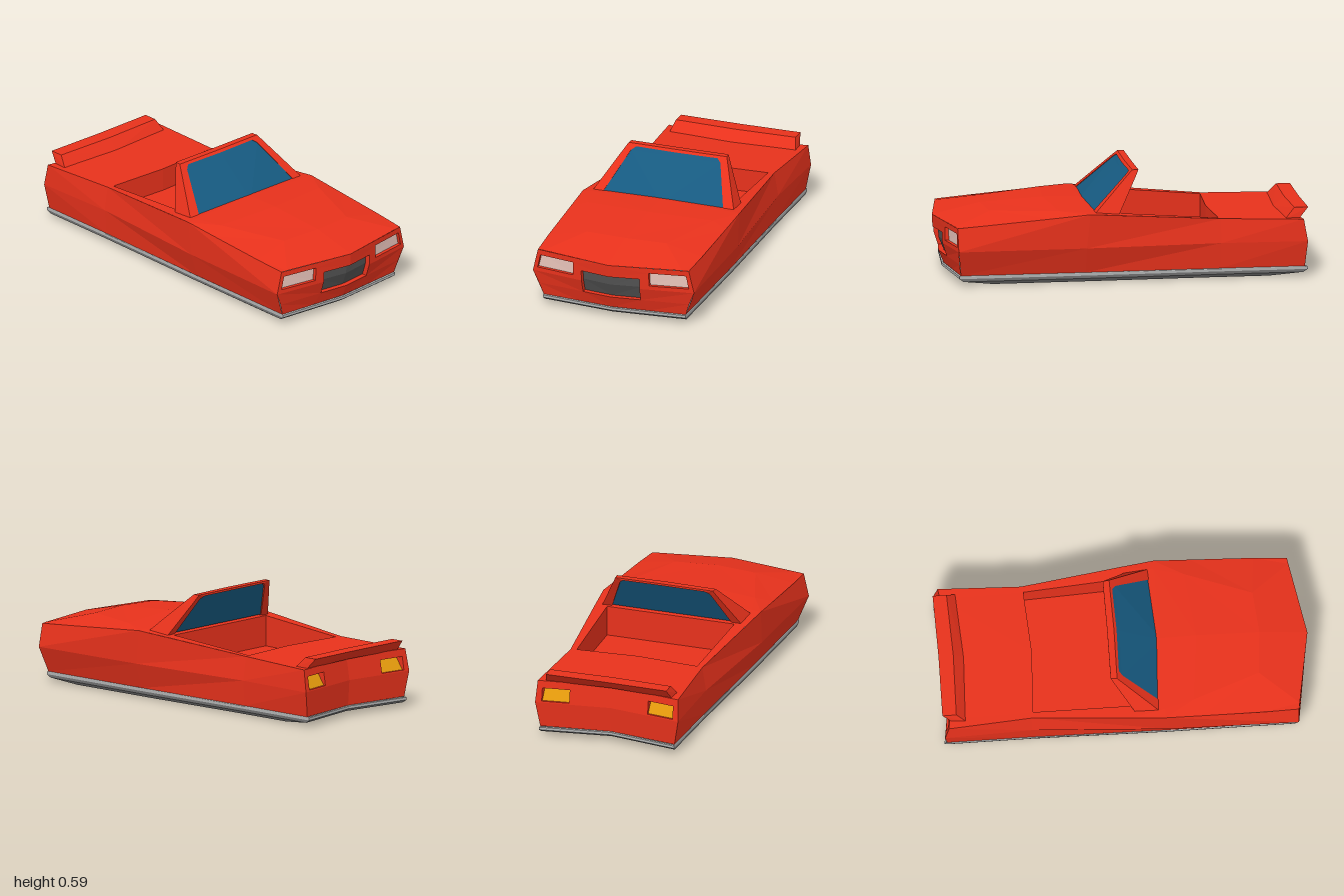
import * as THREE from 'three';

const mat = (name, color) => {
  const m = new THREE.MeshStandardMaterial({ color, side: THREE.DoubleSide });
  m.name = name;
  return m;
};

// Piecewise-linear lookup: stops are [key, value] in rising order
function lerpStops(stops, k) {
  let i = 0;
  while (i < stops.length - 2 && k > stops[i + 1][0]) i++;
  const [k0, v0] = stops[i], [k1, v1] = stops[i + 1];
  return v0 + (v1 - v0) * (k - k0) / (k1 - k0);
}

// Triangles of a grid given as rows of [x, y, z] points
function patch(rows) {
  const out = [];
  for (let r = 0; r + 1 < rows.length; r++) {
    for (let c = 0; c + 1 < rows[r].length; c++) {
      const a = rows[r][c], b = rows[r][c + 1], d = rows[r + 1][c], e = rows[r + 1][c + 1];
      out.push(a, d, e, a, e, b);
    }
  }
  return out;
}

const on = (depth, x, y) => [x, y, depth(x, y)];

// Flat outline with holes, pushed onto the surface z = depth(x, y)
function panel(outline, holes, depth) {
  const v = pts => pts.map(p => new THREE.Vector2(...p));
  const all = [...outline, ...holes.flat()];
  const faces = THREE.ShapeUtils.triangulateShape(v(outline), holes.map(v));
  return faces.flat().map(i => on(depth, ...all[i]));
}

// Walls of a pocket between two surfaces along a line of [x, y] points
const pocketWalls = (line, outer, inner) =>
  patch([outer, inner].map(f => line.map(([x, y]) => on(f, x, y))));

// Mesh made of one half plus its mirror image in x
function mirrored(name, material, tris) {
  const pos = tris.flat();
  for (let i = 0; i < tris.length; i += 3) {
    for (const j of [0, 2, 1]) {
      const [x, y, z] = tris[i + j];
      pos.push(-x, y, z);
    }
  }
  const g = new THREE.BufferGeometry();
  g.setAttribute('position', new THREE.Float32BufferAttribute(pos, 3));
  g.computeVertexNormals();
  const mesh = new THREE.Mesh(g, material);
  mesh.name = name;
  return mesh;
}

export function createModel() {
  const red = mat('red paint', 0xea321c);
  const blue = mat('blue glass', 0x165a80);
  const dark = mat('grille grey', 0x515151);
  const under = mat('underside grey', 0x7c7c7c);
  const grey = mat('bumper grey', 0xb0b2b2);
  const pale = mat('headlight', 0xf2ccc2);
  const amber = mat('tail light amber', 0xe2980c);

  const car = new THREE.Group();
  car.name = 'car';
  const add = (...args) => car.add(mirrored(...args));

  // Pointed nose and notched tail surfaces
  const nose = (x, y) => lerpStops([[0.055, 0.937], [0.195, 0.994], [0.32, 1]], y)
    - x * lerpStops([[0.055, 0.09], [0.195, 0.16], [0.32, 0.18]], y);
  const tail = (x, y) => lerpStops([[0.055, -0.98], [0.195, -0.99], [0.315, -0.97]], y) + 0.06 * (1 - x / 0.41);

  // Body sides: bottom, waist and shoulder lines from front to back
  add('bodySides', red, patch([
    [on(nose, 0.41, 0.055), on(nose, 0.465, 0.195), on(nose, 0.435, 0.32)],
    [[0.404, 0.055, 0.22], [0.45, 0.195, 0.22], [0.452, 0.38, 0.2]],
    [[0.388, 0.055, -0.52], [0.4, 0.195, -0.52], [0.378, 0.325, -0.52]],
    [on(tail, 0.385, 0.055), on(tail, 0.41, 0.195), on(tail, 0.402, 0.315)],
  ]));

  // Hood with a raised middle
  add('hood', red, patch([
    [on(nose, 0, 0.32), on(nose, 0.4, 0.321), on(nose, 0.435, 0.32)],
    [[0, 0.38, 0.74], [0.23, 0.375, 0.72], [0.443, 0.335, 0.74]],
    [[0, 0.401, 0.4], [0.36, 0.387, 0.36], [0.449, 0.363, 0.4]],
    [[0, 0.397, 0.2], [0.4, 0.384, 0.2], [0.452, 0.38, 0.2]],
    [[0, 0.367, 0.02], [0.365, 0.367, 0.02], [0.434, 0.367, 0.02]],
  ]));

  // Cockpit sills, rear deck and sunken tub
  const rim = [[0, 0.367, 0.02], [0.365, 0.367, 0.02], [0.345, 0.325, -0.51], [0, 0.327, -0.49]];
  add('sills', red, patch([
    [rim[1], [0.434, 0.367, 0.02]],
    [rim[2], [0.378, 0.325, -0.52]],
  ]));
  add('rearDeck', red, patch([
    [rim[3], rim[2], [0.378, 0.325, -0.52]],
    [on(tail, 0, 0.315), on(tail, 0.345, 0.315), on(tail, 0.402, 0.315)],
  ]));
  const floor = rim.map(([x, , z]) => [x, 0.2, z]);
  add('cockpitTub', red, [
    ...patch([rim, floor]),
    ...patch([[floor[0], floor[1]], [floor[3], floor[2]]]),
  ]);

  // Front panel with pockets for the headlights and the grille
  const lamp = [[0.22, 0.217], [0.437, 0.217], [0.432, 0.235], [0.42, 0.29], [0.218, 0.29]];
  const grille = [[0, 0.122], [0.166, 0.122], [0.167, 0.195], [0.168, 0.252], [0, 0.252]];
  const lampBack = (x, y) => nose(x, y) - 0.02;
  const grilleBack = (x, y) => nose(x, y) - 0.03;
  add('frontPanel', red, [
    ...panel([grille[2], [0.465, 0.195], [0.435, 0.32], [0, 0.32], grille[4], grille[3]], [lamp], nose),
    ...patch([[[0, 0.055], [0.2, 0.055], [0.41, 0.055]], [grille[0], grille[1], [0.433, 0.122]]]
      .map(row => row.map(([x, y]) => on(nose, x, y)))),
    ...panel([grille[1], [0.433, 0.122], [0.465, 0.195], grille[2]], [], nose),
    ...pocketWalls([...lamp, lamp[0]], nose, lampBack),
    ...pocketWalls(grille, nose, grilleBack),
  ]);
  add('headlights', pale, panel(lamp, [], lampBack));
  add('grille', dark, patch(grille.slice(1, 4).map(([x, y]) =>
    [on(grilleBack, 0, y), on(grilleBack, x, y)])));

  // Rear panel with tail lights that lean inward at the top
  const tailLamp = [[0.225, 0.203], [0.375, 0.203], [0.375, 0.275], [0.225, 0.275]];
  const tailLampBack = (x, y) => tail(x, y) + lerpStops([[0.203, 0.012], [0.275, 0.05]], y);
  add('rearPanel', red, [
    ...panel([[0, 0.195], [0.41, 0.195], [0.402, 0.315], [0, 0.315]], [tailLamp], tail),
    ...panel([[0, 0.055], [0.385, 0.055], [0.41, 0.195], [0, 0.195]], [], tail),
    ...pocketWalls([...tailLamp, tailLamp[0]], tail, tailLampBack),
  ]);
  add('tailLights', amber, panel(tailLamp, [], tailLampBack));

  // Spoiler: closed section swept from the middle to its end
  const spoilerMid = [[0, 0.312, -0.855], [0, 0.37, -0.915], [0, 0.37, -0.995], [0, 0.312, -0.93]];
  const spoilerEnd = [[0.365, 0.312, -0.873], [0.345, 0.37, -0.925], [0.345, 0.37, -1], [0.36, 0.312, -0.95]];
  add('spoiler', red, [
    ...patch([[...spoilerMid, spoilerMid[0]], [...spoilerEnd, spoilerEnd[0]]]),
    ...patch([[spoilerEnd[0], spoilerEnd[1]], [spoilerEnd[3], spoilerEnd[2]]]),
  ]);

  // Raked windscreen frame, wedge-shaped from the side
  const screen = (x, y) => {
    const t = (y - 0.385) / 0.203;
    return 0.2 - 0.1 * x * (1 - 0.8 * t) - 0.245 * t;
  };
  const frame = [
    // outer x, y, inner x, y, back y, back z
    [0.405, 0.38, 0.346, 0.38, 0.36, 0.04],
    [0.297, 0.565, 0.258, 0.56, 0.56, -0.071],
    [0.283, 0.588, 0.235, 0.577, 0.588, -0.085],
    [0, 0.589, 0, 0.577, 0.588, -0.083],
  ].map(([ox, oy, ix, iy, by, bz]) => {
    const outer = on(screen, ox, oy);
    return [outer, on(screen, ix, iy), [ix, Math.min(by, iy), bz], [ox - 0.003, by, bz], outer];
  });
  add('windscreenFrame', red, patch(frame));

  // Glass: sloping front pane and steeper inner pane
  const pane = [[0.348, 0.375], [0.26, 0.56], [0.237, 0.579]];
  const glass = (x, y) => screen(x, y) - 0.005;
  const innerGlass = (x, y) => lerpStops([[0.36, 0.045], [0.588, -0.076]], y);
  for (const [name, surface] of [['windscreen', glass], ['windscreenInside', innerGlass]]) {
    add(name, blue, patch(pane.map(([x, y]) => [on(surface, 0, y), on(surface, x, y)])));
  }

  // Bumper strip and tapered underside follow one plan outline
  const plan = [[0, 0.938], [0.41, 0.9], [0.404, 0.2], [0.388, -0.52], [0.385, -0.983], [0, -0.92]];
  const ring = (y, inset, scale) => plan.map(([x, z]) => [x && x - inset, y, z * scale]);
  add('bumperStrip', grey, patch([ring(0.055, 0, 1), ring(0.052, -0.002, 1.009), ring(0.038, -0.002, 1.009)]));
  const base = ring(0, 0.035, 0.8);
  add('underside', under, [
    ...patch([ring(0.038, -0.002, 1.009), ring(0.022, 0.002, 0.985), base]),
    ...patch([[base[0], base[1]], [[0, 0, base[2][2]], base[2]], [[0, 0, base[3][2]], base[3]], [base[5], base[4]]]),
  ]);

  return car;
}
